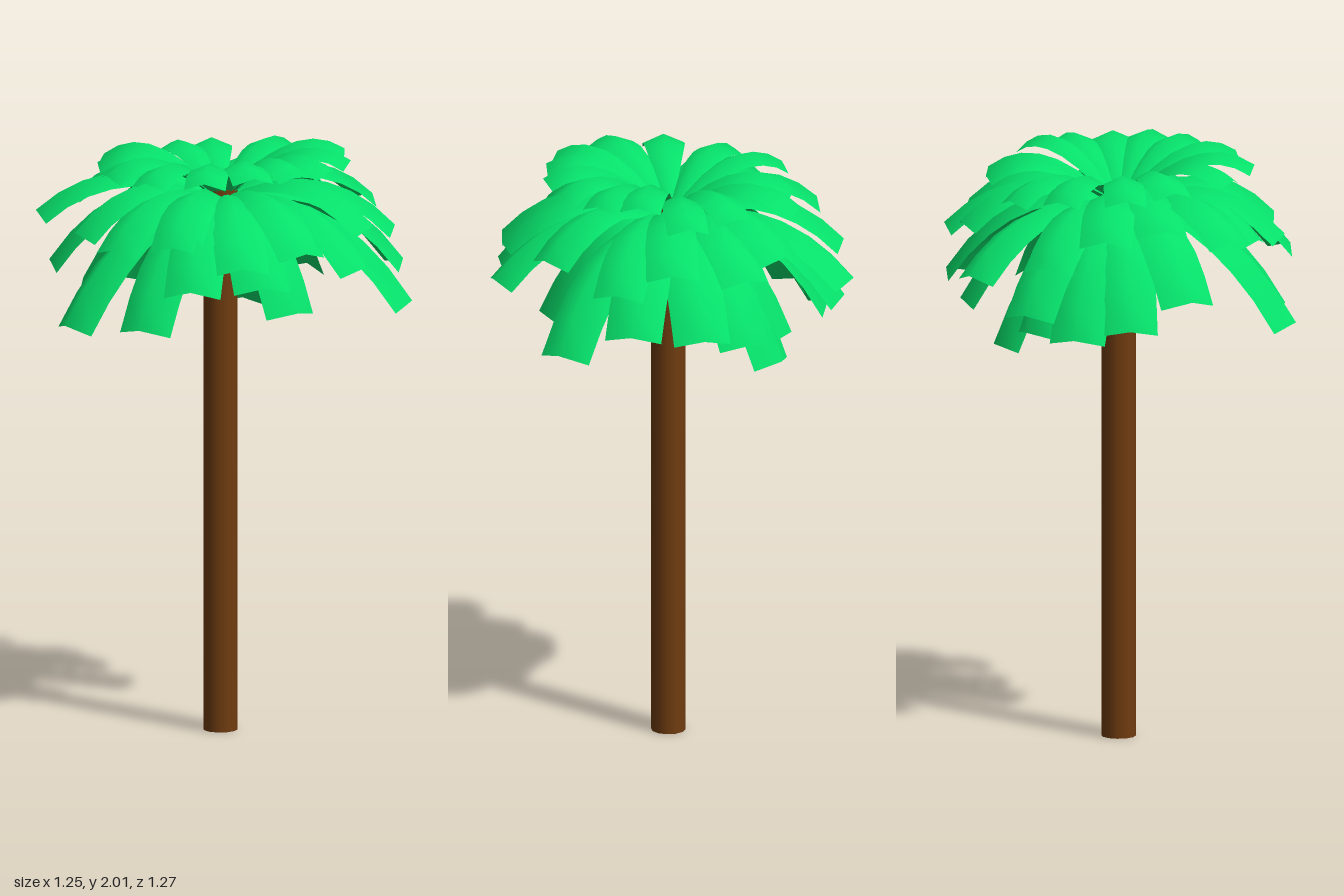
import * as THREE from 'three';

const TRUNK_X = -0.025;
const TRUNK_TOP = 1.855;
const FROND_BASE_Y = 1.81;
const green = new THREE.MeshStandardMaterial({ color: 0x06e06a, side: THREE.DoubleSide });
const brown = new THREE.MeshStandardMaterial({ color: 0x703c10 });

// Tiers of fronds: arch height, half width, fold depth,
// and a list of [heading in degrees (0 = +x, 90 = +z), reach, tip height]
const tiers = [
  {
    name: 'upperFrond', arch: 1.11, halfWidth: 0.07, fold: 0.03,
    fronds: [
      [-2, 0.44, 1.96], [-21, 0.425, 1.97], [-66, 0.445, 1.92], [-104, 0.47, 1.89],
      [-126, 0.42, 1.9], [-158, 0.455, 1.92], [178, 0.415, 1.93], [143, 0.435, 1.94],
      [114, 0.455, 1.95], [88, 0.44, 1.96], [65, 0.415, 1.97], [43, 0.43, 1.97],
      [22, 0.435, 1.96], [-43, 0.47, 1.91],
    ],
  },
  {
    name: 'middleFrond', arch: 1.13, halfWidth: 0.088, fold: 0.04,
    fronds: [
      [-17, 0.59, 1.71], [-36, 0.57, 1.78], [-62, 0.585, 1.75], [-80, 0.55, 1.79],
      [-105, 0.655, 1.66], [-130, 0.59, 1.71], [-150, 0.55, 1.8], [-173, 0.495, 1.82],
      [166, 0.62, 1.79], [145, 0.54, 1.75], [122, 0.56, 1.73], [98, 0.545, 1.76],
      [73, 0.585, 1.7], [50, 0.56, 1.73], [32, 0.64, 1.67], [14, 0.555, 1.77],
    ],
  },
  {
    name: 'lowerFrond', arch: 1.165, halfWidth: 0.096, fold: 0.048,
    fronds: [
      [0, 0.65, 1.49], [-23, 0.63, 1.58], [-46, 0.61, 1.56], [-66, 0.53, 1.5],
      [-90, 0.46, 1.38], [-108, 0.43, 1.44], [-122, 0.59, 1.54], [-139, 0.55, 1.46],
      [-159, 0.53, 1.49], [180, 0.58, 1.59], [136, 0.635, 1.46], [110, 0.56, 1.47],
      [90, 0.635, 1.63], [66, 0.58, 1.63], [45, 0.44, 1.5],
    ],
  },
];

// An arched blade along +x, its section an inverted V that widens from the base
function frondGeometry(reach, tipY, { arch, halfWidth, fold }) {
  const spine = new THREE.QuadraticBezierCurve(
    new THREE.Vector2(0, FROND_BASE_Y),
    new THREE.Vector2(reach * 0.58, arch + tipY / 2),
    new THREE.Vector2(reach, tipY));
  const steps = 7, positions = [], indices = [];
  for (let i = 0; i <= steps; i++) {
    const t = i / steps;
    const p = spine.getPoint(t), d = spine.getTangent(t);
    const grow = 0.2 + 0.8 * Math.sin(Math.min(1, t / 0.8) * Math.PI / 2);
    for (const side of [-1, 0, 1]) {
      const drop = Math.abs(side) * fold * grow;
      positions.push(p.x + d.y * drop, p.y - d.x * drop, side * halfWidth * grow);
    }
    if (i < steps) {
      for (let k = 0; k < 2; k++) {
        const a = i * 3 + k, b = a + 3;
        indices.push(a, a + 1, b, b, a + 1, b + 1);
      }
    }
  }
  const geometry = new THREE.BufferGeometry();
  geometry.setAttribute('position', new THREE.Float32BufferAttribute(positions, 3));
  geometry.setIndex(indices);
  geometry.computeVertexNormals();
  return geometry;
}

export function createModel() {
  const model = new THREE.Group();
  model.name = 'palmTree';

  // Trunk
  const trunk = new THREE.Mesh(new THREE.CylinderGeometry(0.058, 0.058, TRUNK_TOP, 12), brown);
  trunk.name = 'trunk';
  trunk.position.set(TRUNK_X, TRUNK_TOP / 2, 0);
  model.add(trunk);

  // Crown of fronds
  const crown = new THREE.Group();
  crown.name = 'crown';
  crown.position.x = TRUNK_X;
  for (const tier of tiers) {
    for (const [heading, reach, tipY] of tier.fronds) {
      const frond = new THREE.Mesh(frondGeometry(reach, tipY, tier), green);
      frond.name = tier.name;
      frond.rotation.y = -THREE.MathUtils.degToRad(heading);
      crown.add(frond);
    }
  }
  model.add(crown);
  return model;
}
